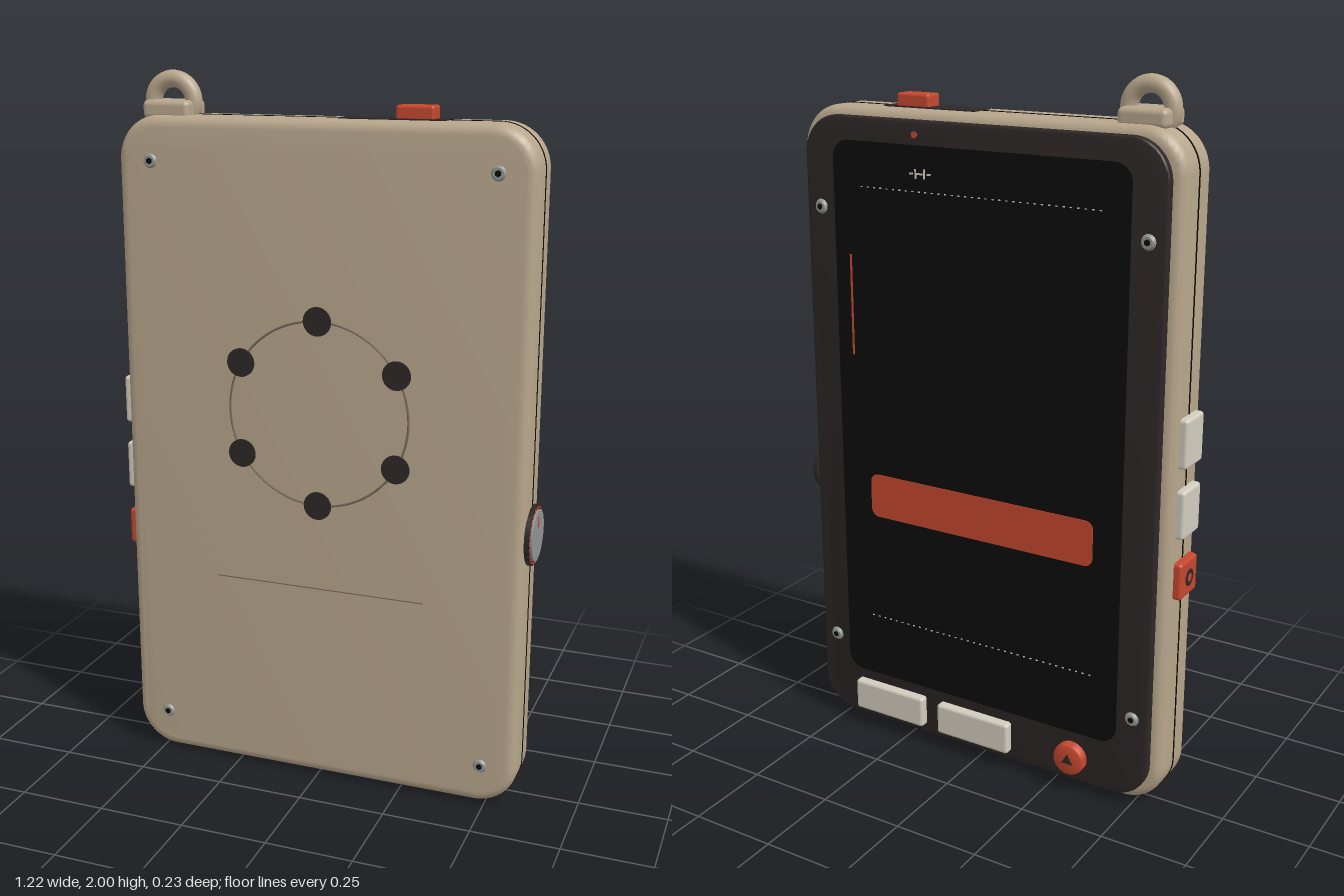
import * as THREE from 'three';
import { toCreasedNormals } from 'three/addons/utils/BufferGeometryUtils.js';
import { RoundedBoxGeometry } from 'three/addons/geometries/RoundedBoxGeometry.js';

const mat = (name, color) => {
  const m = new THREE.MeshStandardMaterial({ color });
  m.name = name;
  return m;
};

// Rounded slab centred on x, y and z; w and h include the bevel
function slab(w, h, d, r, bevel = 0) {
  const a = w / 2 - bevel, b = h / 2 - bevel, c = Math.max(r - bevel, 0.001);
  const s = new THREE.Shape();
  s.absarc(a - c, b - c, c, 0, Math.PI / 2);
  s.absarc(-a + c, b - c, c, Math.PI / 2, Math.PI);
  s.absarc(-a + c, -b + c, c, Math.PI, Math.PI * 1.5);
  s.absarc(a - c, -b + c, c, Math.PI * 1.5, Math.PI * 2);
  s.closePath();
  const g = new THREE.ExtrudeGeometry(s, {
    depth: d - 2 * bevel, bevelEnabled: bevel > 0, bevelSize: bevel,
    bevelThickness: bevel, bevelSegments: 5, curveSegments: 10,
  });
  g.translate(0, 0, bevel - d / 2);
  return toCreasedNormals(g, 0.6);
}

export function createModel() {
  const model = new THREE.Group();
  model.name = 'handheldDevice';
  const tan = mat('tan shell', 0xb8a68c);
  const shade = mat('dark tan groove', 0x786b5a);
  const dark = mat('charcoal trim', 0x2e2727);
  const black = mat('black glass', 0x0b0b0b);
  const red = mat('signal red', 0xc5472f);
  const cream = mat('cream button', 0xd2ccbe);
  const metal = mat('grey metal', 0x929594);

  const add = (name, geo, material, x, y, z, parent = model) => {
    const m = new THREE.Mesh(geo, material);
    m.name = name;
    m.position.set(x, y, z);
    parent.add(m);
    return m;
  };
  const box = (w, h, d) => new THREE.BoxGeometry(w, h, d);
  // Disc whose axis lies along z
  const disc = (r, d, seg = 32, rBack = r) =>
    new THREE.CylinderGeometry(r, rBack, d, seg).rotateX(Math.PI / 2);

  // Shell with the seam between its halves
  const cx = 0.003, cy = 0.944, cz = 0.025;
  add('shell', slab(1.17, 1.878, 0.165, 0.12, 0.03), tan, cx, cy, cz);
  add('seam', slab(1.173, 1.881, 0.006, 0.1215), black, cx, cy, cz);

  // Screws with sunken sockets; dir is +1 on the front, -1 on the back
  function screw(x, y, z, dir) {
    const g = new THREE.Group();
    g.name = 'screw';
    g.position.set(x, y, z);
    if (dir < 0) g.rotation.y = Math.PI;
    model.add(g);
    add('screwHead', disc(0.015, 0.008, 20, 0.021), metal, 0, 0, 0.003, g);
    add('screwSocket', disc(0.009, 0.002, 6), black, 0, 0, 0.0075, g);
  }
  for (const s of [-1, 1]) {
    for (const y of [0.122, 1.762]) screw(cx + s * 0.484, y, 0.107, 1);
    for (const y of [0.28, 1.605]) screw(cx + s * 0.505, y, -0.086, -1);
  }

  // Front ring with six pads, and the groove below it
  add('padRing', new THREE.TorusGeometry(0.26, 0.0035, 6, 72), shade, cx, 1.093, 0.107);
  for (let i = 0; i < 6; i++) {
    const a = Math.PI / 2 + i * Math.PI / 3;
    add('pad', disc(0.04, 0.006), dark, cx + 0.26 * Math.cos(a), 1.093 + 0.26 * Math.sin(a), 0.109);
  }
  add('frontGroove', box(0.62, 0.003, 0.001), shade, cx, 0.585, 0.1077);

  // Back bezel and screen
  add('bezel', slab(1.11, 1.83, 0.028, 0.11, 0.008), dark, cx, 0.945, -0.071);
  add('screen', slab(0.915, 1.61, 0.004, 0.05), black, cx, 0.99, -0.0855);
  add('screenBand', slab(0.73, 0.132, 0.002, 0.025), red, -0.005, 0.771, -0.0885);
  add('screenMarker', box(0.006, 0.29, 0.002), red, 0.409, 1.335, -0.0885);
  for (const y of [0.38, 1.672]) {
    for (let i = 0; i < 36; i++)
      add('screenDot', box(0.006, 0.003, 0.002), cream, -0.37 + i * 0.021, y, -0.0885);
  }
  // Small status icon and indicator lamp
  for (const s of [-1, 1]) {
    add('iconBar', box(0.005, 0.026, 0.002), cream, 0.172 + s * 0.014, 1.72, -0.0885);
    add('iconTick', box(0.012, 0.005, 0.002), cream, 0.172 + s * 0.028, 1.72, -0.0885);
  }
  add('iconCentre', box(0.018, 0.005, 0.002), cream, 0.172, 1.72, -0.0885);
  add('lamp', disc(0.009, 0.004, 16), red, 0.19, 1.822, -0.086);

  // Back buttons
  for (const x of [0.005, 0.302])
    add('backButton', new RoundedBoxGeometry(0.245, 0.096, 0.034, 3, 0.01), cream, x, 0.106, -0.094);
  const roundProfile = [[0, 0.032], [0.038, 0.032], [0.045, 0.029], [0.048, 0.022], [0.048, 0]]
    .reverse().map(([r, h]) => new THREE.Vector2(r, h));
  const roundGeo = toCreasedNormals(new THREE.LatheGeometry(roundProfile, 32), 0.6).rotateX(-Math.PI / 2);
  add('roundButton', roundGeo, red, -0.318, 0.106, -0.082);
  add('roundButtonArrow', disc(0.02, 0.002, 3).rotateZ(Math.PI), dark, -0.318, 0.106, -0.1145)
    .geometry.computeBoundingBox();

  // Side keys
  for (const y of [1.076, 0.879])
    add('sideKey', new RoundedBoxGeometry(0.034, 0.137, 0.105, 3, 0.01), cream, -0.588, y, cz);
  add('redSideKey', new RoundedBoxGeometry(0.034, 0.106, 0.105, 3, 0.01), red, -0.588, 0.689, cz);
  add('redSideKeyDot', disc(0.024, 0.002, 24).rotateY(Math.PI / 2), dark, -0.6055, 0.689, cz);
  add('redSideKeyDotCentre', disc(0.012, 0.002, 24).rotateY(Math.PI / 2), red, -0.6062, 0.689, cz);

  // Knob on the other side, built along z and turned to face +x
  const knob = new THREE.Group();
  knob.name = 'knob';
  knob.position.set(0.588, 0.795, cz);
  knob.rotation.y = Math.PI / 2;
  model.add(knob);
  add('knobWheel', disc(0.082, 0.014, 48), dark, 0, 0, 0.006, knob);
  add('knobFace', disc(0.071, 0.012, 48), metal, 0, 0, 0.013, knob);
  add('knobPointer', box(0.007, 0.032, 0.002), red, 0, 0.038, 0.0195, knob);
  for (let i = 0; i < 24; i++) {
    const a = i * Math.PI / 12;
    const px = Math.cos(a), py = Math.sin(a);
    add('knobTick', box(0.004, 0.012, 0.002), red, 0.077 * px, 0.077 * py, 0.0138, knob).rotation.z = a;
    add('knobTooth', box(0.004, 0.008, 0.012), dark, 0.082 * px, 0.082 * py, 0.006, knob).rotation.z = a;
  }

  // Top slider
  add('sliderTrack', box(0.289, 0.006, 0.081), dark, 0.19, 1.883, cz);
  add('slider', new RoundedBoxGeometry(0.104, 0.04, 0.058, 3, 0.008), red, 0.25, 1.9, cz);

  // Strap loop
  add('loopBase', new RoundedBoxGeometry(0.137, 0.05, 0.117, 4, 0.015), tan, -0.445, 1.896, cz);
  add('strapLoop', new THREE.TorusGeometry(0.06, 0.0235, 16, 40), tan, -0.445, 1.916, cz);

  // Bottom port
  add('port', box(0.18, 0.006, 0.05), dark, cx, 0.004, cz);
  for (const z of [-0.012, 0, 0.012])
    add('portSlot', box(0.15, 0.002, 0.004), black, cx, 0.001, cz + z);

  return model;
}
